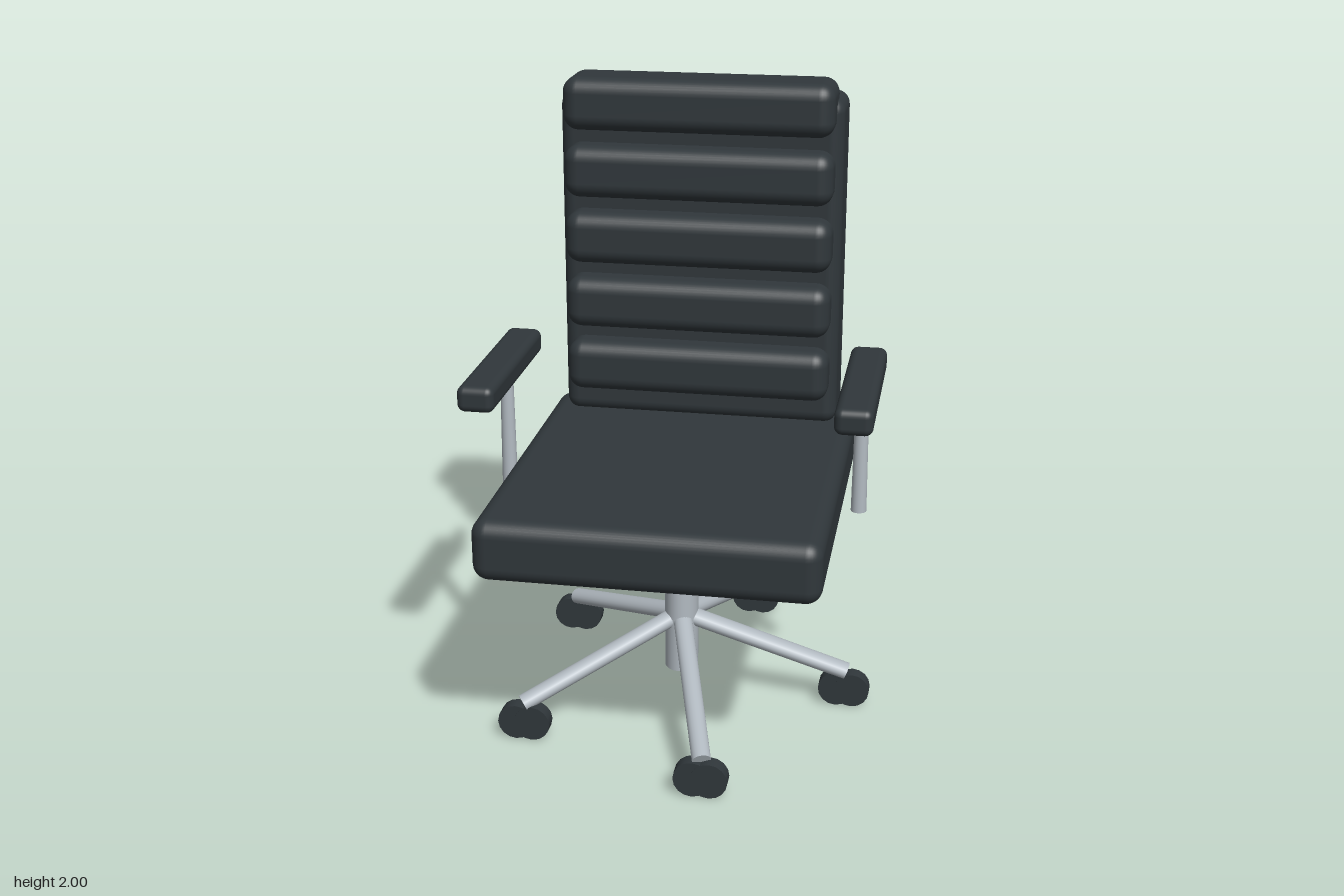
import * as THREE from 'three';
import { RoundedBoxGeometry } from 'three/addons/geometries/RoundedBoxGeometry.js';

const dark = new THREE.MeshStandardMaterial({ color: 0x30373b });
const metal = new THREE.MeshStandardMaterial({ color: 0xb2bac1 });
const AXIS_Z = -0.008; // depth of the swivel axis

export function createModel() {
  const chair = new THREE.Group();
  chair.name = 'officeChair';

  const add = (parent, name, geometry, material) => {
    const mesh = new THREE.Mesh(geometry, material);
    mesh.name = name;
    parent.add(mesh);
    return mesh;
  };

  // Rounded box given by its min and max corners
  const cushion = (parent, name, [x0, y0, z0], [x1, y1, z1], radius) => {
    const mesh = add(parent, name, new RoundedBoxGeometry(x1 - x0, y1 - y0, z1 - z0, 4, radius), dark);
    mesh.position.set((x0 + x1) / 2, (y0 + y1) / 2, (z0 + z1) / 2);
    return mesh;
  };

  // Straight round bar between two points
  const bar = (parent, name, from, to, r0, r1, material) => {
    const a = new THREE.Vector3(...from);
    const b = new THREE.Vector3(...to);
    const mesh = add(parent, name, new THREE.CylinderGeometry(r1, r0, a.distanceTo(b), 20), material);
    mesh.position.copy(a).add(b).multiplyScalar(0.5);
    mesh.quaternion.setFromUnitVectors(new THREE.Vector3(0, 1, 0), b.sub(a).normalize());
    return mesh;
  };

  // Seat and backrest with five horizontal pads
  cushion(chair, 'seat', [-0.52, 0.665, -0.533], [0.52, 0.86, 0.658], 0.05);
  cushion(chair, 'backrest', [-0.46, 0.85, -0.58], [0.46, 1.94, -0.345], 0.045);
  for (let i = 0; i < 5; i++) {
    const y = 0.953 + i * 0.219;
    cushion(chair, 'backPad', [-0.436, y, -0.472], [0.436, y + 0.171, -0.255], 0.05);
  }

  // Armrests: pad, upright and rearward rod
  for (const side of [-1, 1]) {
    const arm = new THREE.Group();
    arm.name = side > 0 ? 'leftArmrest' : 'rightArmrest';
    const x = 0.572 * side;
    cushion(arm, 'armPad', [x - 0.058, 1.087, -0.257], [x + 0.058, 1.17, 0.365], 0.025);
    bar(arm, 'armPost', [x, 0.697, AXIS_Z], [x, 1.1, AXIS_Z], 0.025, 0.021, metal);
    bar(arm, 'armRod', [x, 1.1, AXIS_Z], [x, 1.1, -0.367], 0.023, 0.024, metal);
    add(arm, 'armElbow', new THREE.SphereGeometry(0.023, 16, 12), metal).position.set(x, 1.1, AXIS_Z);
    chair.add(arm);
  }

  // Tilt mechanism with its lever
  cushion(chair, 'tiltBox', [-0.186, 0.52, AXIS_Z - 0.198], [0.186, 0.64, AXIS_Z + 0.198], 0.02);
  bar(chair, 'tiltLever', [0.15, 0.596, AXIS_Z], [0.427, 0.614, AXIS_Z], 0.014, 0.016, dark);

  // Slightly oval star base: column and five sloping legs
  const base = new THREE.Group();
  base.name = 'base';
  base.position.z = AXIS_Z;
  chair.add(base);
  const column = add(base, 'column', new THREE.CylinderGeometry(0.066, 0.066, 0.58, 28), metal);
  column.position.y = 0.39;
  column.scale.x = 0.83;

  const legs = new THREE.Group();
  legs.name = 'legs';
  legs.scale.set(0.83, 0.72, 1);
  base.add(legs);

  for (let i = 0; i < 5; i++) {
    const angle = (i * Math.PI * 2) / 5;
    const c = Math.cos(angle);
    const s = Math.sin(angle);
    bar(legs, 'leg', [0, 0.288 / 0.72, 0], [0.665 * c, 0.118 / 0.72, 0.665 * s], 0.037, 0.035, metal);

    // Twin overlapping wheels at the end of each leg
    const caster = new THREE.Group();
    caster.name = 'caster';
    caster.position.set(0.545 * c, 0.058, 0.661 * s);
    for (const side of [-1, 1]) {
      const wheel = add(caster, 'wheel', new THREE.CylinderGeometry(0.058, 0.058, 0.046, 16), dark);
      wheel.rotation.x = Math.PI / 2;
      wheel.position.x = 0.026 * side;
      wheel.position.z = 0.001 * side; // keeps the overlapping faces apart
    }
    base.add(caster);
  }

  return chair;
}
